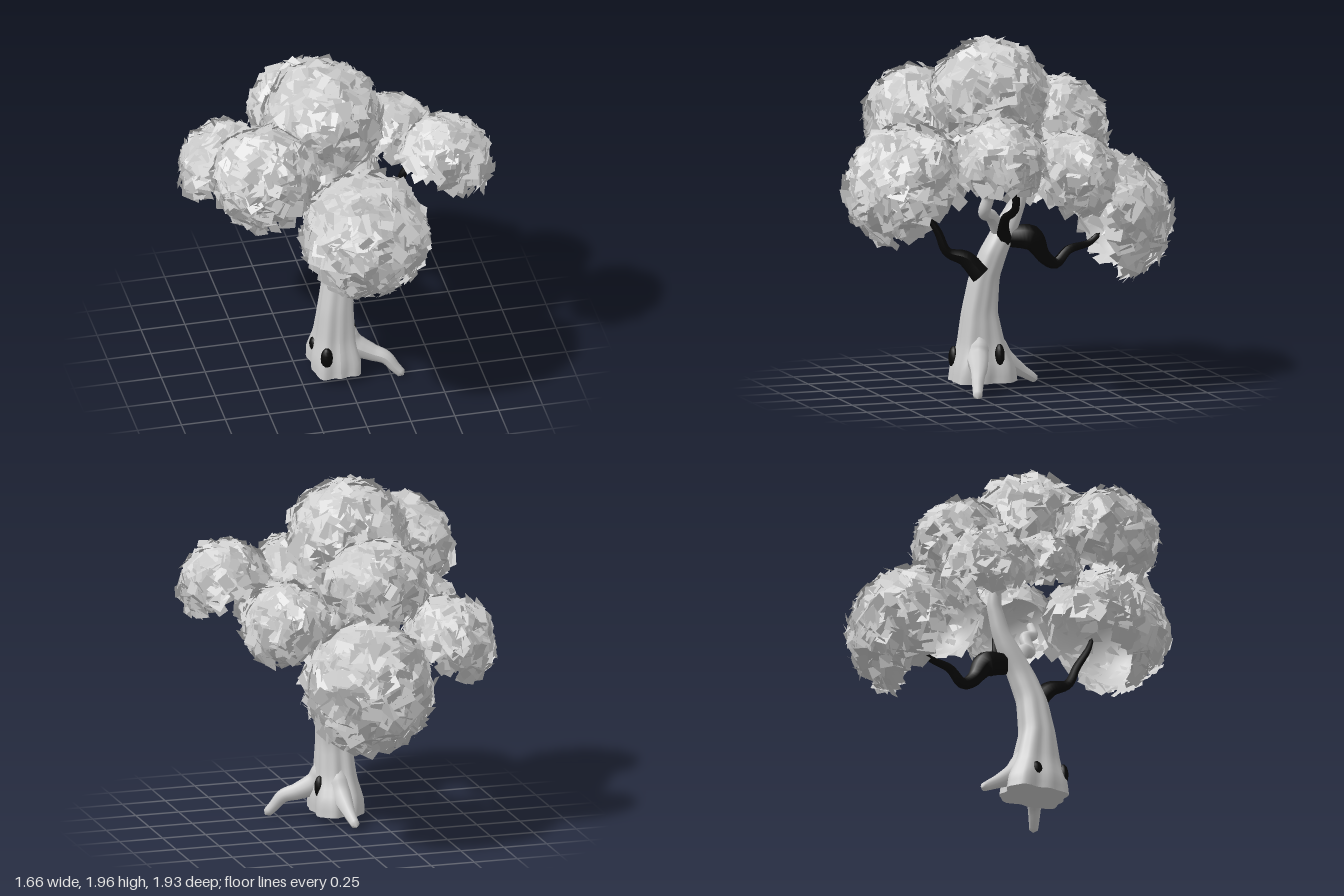
import * as THREE from 'three';

const grey = new THREE.MeshStandardMaterial({ color: 0xcccccc });
const greyBoth = new THREE.MeshStandardMaterial({ color: 0xcccccc, side: THREE.DoubleSide });
const black = new THREE.MeshStandardMaterial({ color: 0x080808 });
const V = (a) => new THREE.Vector3(...a);

// Small seeded generator
let seed = 7;
const rnd = () => {
  seed = (seed * 1664525 + 1013904223) % 4294967296;
  return seed / 4294967296;
};
const jitter = (a) => (rnd() * 2 - 1) * a;

function addMesh(parent, name, geometry, material) {
  const m = new THREE.Mesh(geometry, material);
  m.name = name;
  parent.add(m);
  return m;
}

// Tapered limb: a tube whose rings are rescaled along its length
function limb(points, radii, sides = 10) {
  const curve = new THREE.CatmullRomCurve3(points.map(V), false, 'centripetal');
  const n = points.length * 5;
  const g = new THREE.TubeGeometry(curve, n, 1, sides);
  const p = g.attributes.position, v = new THREE.Vector3(), c = new THREE.Vector3();
  for (let i = 0; i <= n; i++) {
    curve.getPointAt(i / n, c);
    const f = (i / n) * (radii.length - 1), k = Math.min(Math.floor(f), radii.length - 2);
    let r = THREE.MathUtils.lerp(radii[k], radii[k + 1], f - k);
    if (i === n) r = 0.002;
    for (let j = 0; j <= sides; j++) {
      const id = i * (sides + 1) + j;
      v.fromBufferAttribute(p, id).sub(c).multiplyScalar(r).add(c);
      p.setXYZ(id, v.x, v.y, v.z);
    }
  }
  g.computeVertexNormals();
  return g;
}

// Trunk sections: y, centre x, centre z, radius x, radius z
const trunkRows = [
  [0.06, -0.045, 0.13, 0.145, 0.19],
  [0.14, -0.045, 0.13, 0.145, 0.18],
  [0.26, -0.045, 0.14, 0.115, 0.135],
  [0.45, -0.04, 0.15, 0.1, 0.1],
  [0.65, -0.02, 0.13, 0.088, 0.085],
  [0.8, 0.0, 0.08, 0.078, 0.08],
  [0.93, 0.0, 0.01, 0.065, 0.072],
  [1.05, 0.0, -0.05, 0.05, 0.052],
  [1.2, 0.0, -0.09, 0.042, 0.042],
  [1.42, -0.04, -0.09, 0.02, 0.02],
];

function trunkAt(y) {
  let k = 0;
  while (k < trunkRows.length - 2 && trunkRows[k + 1][0] < y) k++;
  const a = trunkRows[k], b = trunkRows[k + 1];
  const t = (y - a[0]) / (b[0] - a[0]);
  return a.map((q, i) => THREE.MathUtils.lerp(q, b[i], t));
}

// Fluted trunk: cylinder moved onto the sections, squarish ridges fading upward
function trunkGeometry() {
  const g = new THREE.CylinderGeometry(1, 1, 1, 48, 36);
  const p = g.attributes.position;
  for (let i = 0; i < p.count; i++) {
    const y = 0.06 + (p.getY(i) + 0.5) * 1.36;
    const [, cx, cz, rx, rz] = trunkAt(y);
    const a = Math.atan2(p.getZ(i), p.getX(i));
    const fade = Math.max(0, 1 - y / 1.1);
    const s = 1 + fade * (0.11 * Math.cos(4 * a + Math.PI) + 0.05 * Math.sin(9 * a + y * 3));
    p.setXYZ(i, cx + p.getX(i) * rx * s, y, cz + p.getZ(i) * rz * s);
  }
  g.computeVertexNormals();
  return g;
}

// Loose rectangular leaves scattered over a dome of radius r (axis +y)
function leafGeometry(r, open) {
  const pos = [], depth = 1.03 - Math.cos(open), size = 0.5 + r * 2.3;
  const n = Math.round(4500 * r * r * depth / size ** 1.5);
  const up = new THREE.Vector3(0, 0, 1);
  const q = new THREE.Quaternion(), tilt = new THREE.Quaternion();
  for (let i = 0; i < n; i++) {
    const y = 1 - ((i + rnd()) / n) * depth, a = i * 2.39996 + jitter(0.3);
    const h = Math.sqrt(1 - y * y);
    const dir = new THREE.Vector3(h * Math.cos(a), y, h * Math.sin(a));
    tilt.setFromEuler(new THREE.Euler(jitter(0.5), jitter(0.5), rnd() * Math.PI, 'ZXY'));
    q.setFromUnitVectors(up, dir).multiply(tilt);
    const c = dir.multiplyScalar(r + 0.004 + rnd() * 0.03);
    const w = (0.028 + rnd() * 0.016) * size, l = (0.036 + rnd() * 0.026) * size;
    const [A, B, C, D] = [[-w, -l], [w, -l], [w, l], [-w, l]].map(([x, z]) =>
      new THREE.Vector3(x, z, 0).applyQuaternion(q).add(c));
    for (const v of [A, B, C, A, C, D]) pos.push(v.x, v.y, v.z);
  }
  const g = new THREE.BufferGeometry();
  g.setAttribute('position', new THREE.Float32BufferAttribute(pos, 3));
  g.computeVertexNormals();
  return g;
}

// Foliage clump: open dome tilted along its axis, covered in leaves
function clump(name, centre, r, axis, openness) {
  const group = new THREE.Group(), open = Math.PI * openness;
  group.name = name;
  addMesh(group, 'canopyShell', new THREE.SphereGeometry(r, 32, 16, 0, Math.PI * 2, 0, open), greyBoth);
  addMesh(group, 'leaves', leafGeometry(r, open), greyBoth);
  group.position.set(...centre);
  group.quaternion.setFromUnitVectors(new THREE.Vector3(0, 1, 0), V(axis).normalize());
  return group;
}

export function createModel() {
  const tree = new THREE.Group();
  tree.name = 'tree';

  addMesh(tree, 'trunk', trunkGeometry(), grey);

  // Roots
  const roots = [
    [[[-0.01, 0.36, 0.16], [0.04, 0.22, 0.19], [0.14, 0.16, 0.22], [0.22, 0.13, 0.25], [0.27, 0.07, 0.27], [0.315, 0.02, 0.285]], [0.045, 0.065, 0.06, 0.045, 0.034, 0.024]],
    [[[-0.03, 0.34, 0.11], [-0.04, 0.19, 0.02], [-0.05, 0.12, -0.07], [-0.06, 0.07, -0.15], [-0.07, 0.04, -0.195]], [0.05, 0.065, 0.055, 0.035, 0.022]],
  ];
  for (const [pts, rad] of roots) addMesh(tree, 'root', limb(pts, rad), grey);

  // Pale bough toward the left-hand clump
  addMesh(tree, 'paleBranch', limb(
    [[0.0, 0.88, 0.04], [0.07, 1.0, 0.12], [0.15, 1.04, 0.19], [0.19, 1.14, 0.18], [0.24, 1.19, 0.25], [0.33, 1.3, 0.27]],
    [0.045, 0.038, 0.036, 0.033, 0.028, 0.02]), grey);

  // Dark branches
  const branches = [
    ['frontBranch', [[0.04, 0.67, 0.17], [0.01, 0.76, 0.25], [-0.01, 0.8, 0.35], [-0.02, 0.91, 0.4], [-0.04, 1.02, 0.46], [-0.03, 1.1, 0.49]],
      [0.058, 0.048, 0.028, 0.024, 0.02, 0.012]],
    ['backBranch', [[0.01, 0.87, -0.01], [0.04, 0.86, -0.12], [0.04, 0.75, -0.2], [0.03, 0.71, -0.27], [0.02, 0.78, -0.35], [0.0, 0.81, -0.48], [0.0, 0.86, -0.54]],
      [0.06, 0.075, 0.045, 0.032, 0.026, 0.02, 0.015]],
    ['leftBranch', [[0.03, 0.86, 0.03], [0.1, 0.94, 0.06], [0.2, 1.01, 0.08], [0.33, 1.08, 0.07], [0.36, 1.22, 0.08], [0.45, 1.34, 0.1]],
      [0.045, 0.03, 0.024, 0.022, 0.022, 0.015]],
  ];
  for (const [name, pts, rad] of branches) addMesh(tree, name, limb(pts, rad, 7), black);

  // Dark hollows low on the trunk
  const hollows = [
    [-0.12, 0.185, 0.275, 0.035, 0.065, 0.03],
    [0.065, 0.215, 0.07, 0.03, 0.065, 0.028],
    [-0.15, 0.18, 0.1, 0.03, 0.045, 0.036],
  ];
  for (const [x, y, z, sx, sy, sz] of hollows) {
    const h = addMesh(tree, 'hollow', new THREE.SphereGeometry(1, 12, 8), black);
    h.position.set(x, y, z);
    h.scale.set(sx, sy, sz);
  }

  // Foliage clumps: name, centre, radius, dome axis, opening angle as a share of pi
  const clumps = [
    ['topFoliage', [-0.1, 1.63, 0.075], 0.295, [0, 1, 0.05], 0.64],
    ['frontFoliage', [0.02, 1.18, 0.59], 0.31, [0, 0.81, 0.59], 0.63],
    ['backFoliage', [-0.01, 0.945, -0.58], 0.325, [0.03, 0.54, -0.84], 0.57],
    ['leftFoliage', [0.555, 1.37, 0.235], 0.225, [0.45, 0.9, 0.05], 0.53],
    ['backLeftFoliage', [0.36, 1.25, -0.26], 0.21, [0.5, 0.8, -0.3], 0.62],
    ['frontRightFoliage', [-0.49, 1.48, 0.365], 0.255, [-0.4, 0.9, 0.2], 0.64],
    ['backRightFoliage', [-0.55, 1.11, -0.36], 0.225, [-0.4, 0.85, -0.35], 0.55],
    ['upperBackFoliage', [-0.13, 1.45, -0.34], 0.24, [0, 0.9, -0.4], 0.6],
    ['rightFoliage', [-0.5, 1.22, 0.0], 0.165, [-0.5, 0.85, 0], 0.53],
  ];
  for (const c of clumps) tree.add(clump(...c));

  return tree;
}
